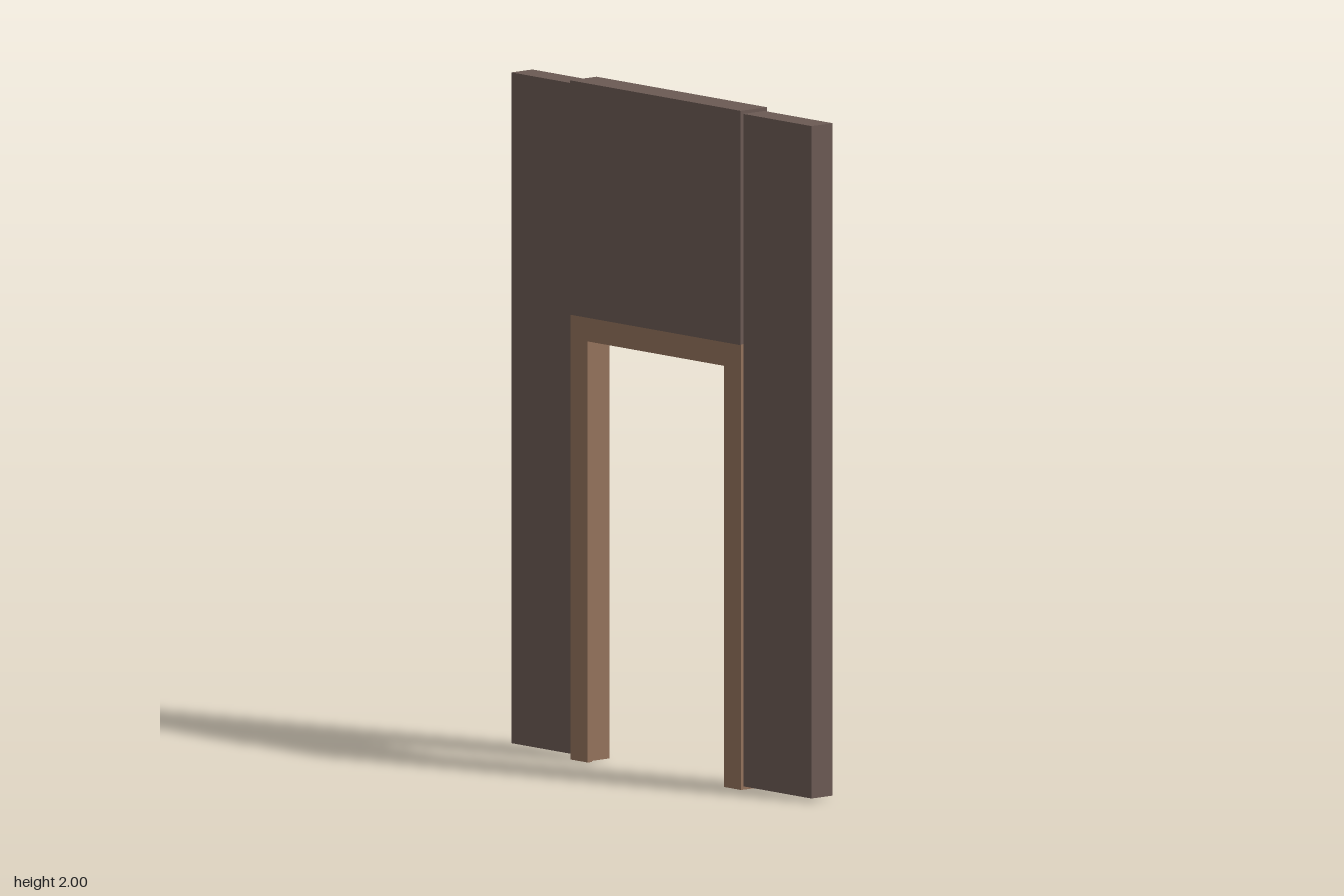
import * as THREE from 'three';

export function createModel() {
  const model = new THREE.Group();
  const wallMat = new THREE.MeshStandardMaterial({ color: 0x6b5a54 });
  wallMat.name = 'dark wall';
  const woodMat = new THREE.MeshStandardMaterial({ color: 0x94725c });
  woodMat.name = 'brown wood';

  // Box given by its limits on each axis
  function block(name, mat, [x0, x1], [y0, y1], [z0, z1]) {
    const mesh = new THREE.Mesh(new THREE.BoxGeometry(x1 - x0, y1 - y0, z1 - z0), mat);
    mesh.position.set((x0 + x1) / 2, (y0 + y1) / 2, (z0 + z1) / 2);
    mesh.name = name;
    model.add(mesh);
  }

  // Upside-down U around the doorway, extruded through the wall along x
  function surround(name, outer, inner, x0, x1) {
    const s = new THREE.Shape([
      [-outer.front, 0], [-inner.front, 0], [-inner.front, inner.top], [-inner.back, inner.top],
      [-inner.back, 0], [-outer.back, 0], [-outer.back, outer.top], [-outer.front, outer.top],
    ].map(([x, y]) => new THREE.Vector2(x, y)));
    const geo = new THREE.ExtrudeGeometry(s, { depth: x1 - x0, bevelEnabled: false });
    geo.rotateY(Math.PI / 2);
    const mesh = new THREE.Mesh(geo, woodMat);
    mesh.position.x = x0;
    mesh.name = name;
    model.add(mesh);
  }

  // Side wall panels and the thicker panel over the door
  block('frontWall', wallMat, [-0.042, 0.04], [0.01, 1.99], [0.355, 0.66]);
  block('backWall', wallMat, [-0.042, 0.04], [0.015, 1.99], [-0.66, -0.385]);
  block('header', wallMat, [-0.052, 0.05], [1.31, 2], [-0.39, 0.36]);

  // Door frame with a thin stop along one side of its opening
  const outer = { front: 0.36, back: -0.39, top: 1.312 };
  const rebate = { front: 0.3, back: -0.33, top: 1.255 };
  const opening = { front: 0.285, back: -0.315, top: 1.24 };
  surround('doorFrame', outer, rebate, -0.05, 0.047);
  surround('doorStop', rebate, opening, -0.05, -0.034);

  return model;
}
